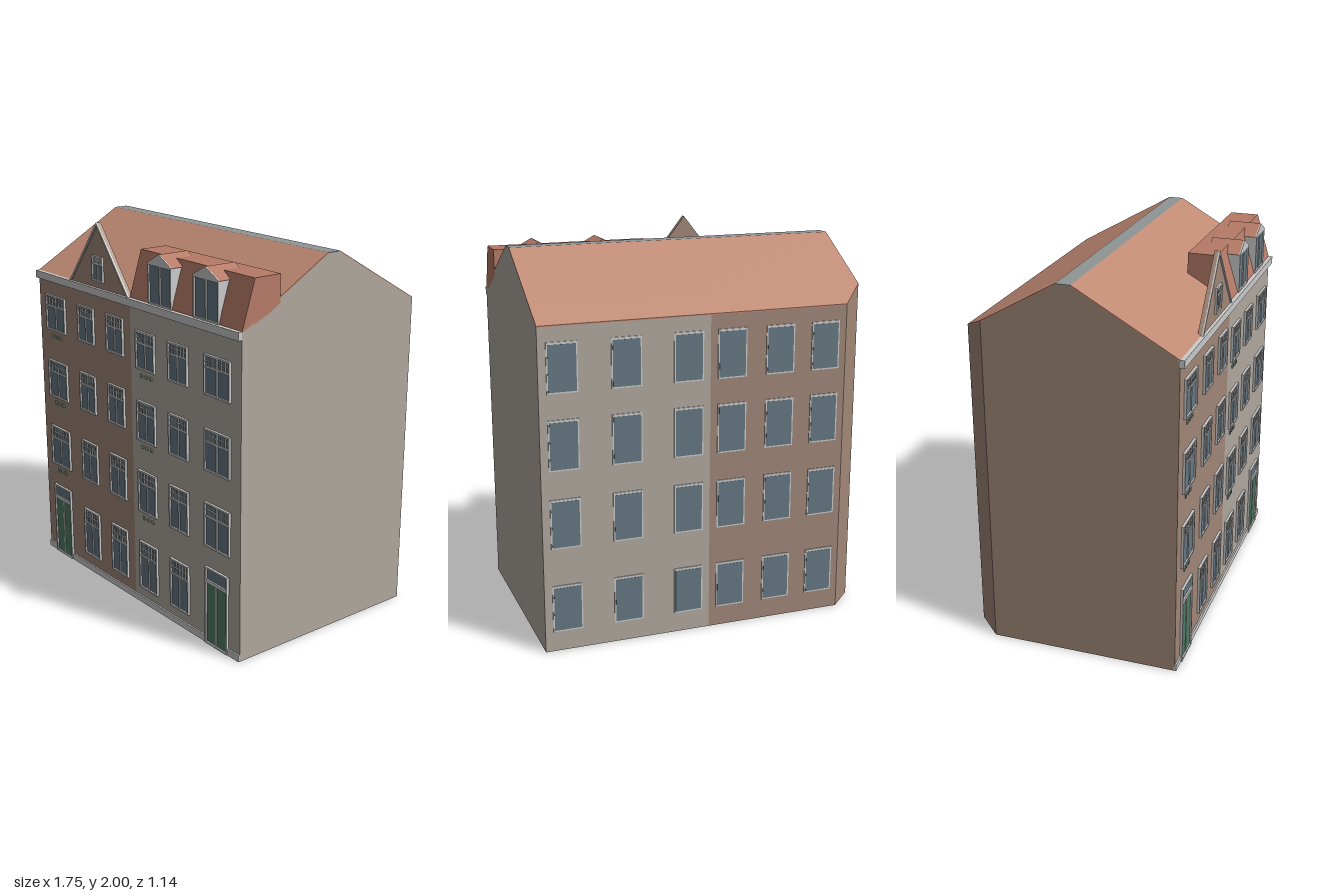
import * as THREE from 'three';

const mat = (color) => new THREE.MeshStandardMaterial({ color, flatShading: true });
const M = {
  brown: mat(0xa08777), beige: mat(0xb0a99f), roof: mat(0xc08a74), tile: mat(0xb67b67),
  ridge: mat(0x8f9496), white: mat(0xd6d6d2), glass: mat(0x667883), green: mat(0x517b66), anchor: mat(0x8fa597),
};
const W = 0.873, FRONT = 0.547, BACK = -0.562, EAVE = 1.66, TOP = 1.955;
const RF = 0.028, RB = -0.048, CUT = -0.43; // ridge edges and start of the cut corner

function add(parent, name, geo, material) {
  const m = new THREE.Mesh(geo, material);
  m.name = name;
  parent.add(m);
  return m;
}

// Box given by its limits
function box(parent, name, material, x0, x1, y0, y1, z0, z1) {
  const g = new THREE.BoxGeometry(x1 - x0, y1 - y0, z1 - z0);
  g.translate((x0 + x1) / 2, (y0 + y1) / 2, (z0 + z1) / 2);
  return add(parent, name, g, material);
}

const shape = (pts) => new THREE.Shape(pts.map(([a, b]) => new THREE.Vector2(a, b)));

// Side profile of [z, y] points swept along x
function sweepX(pts, x0, x1) {
  const g = new THREE.ExtrudeGeometry(shape(pts), { depth: x1 - x0, bevelEnabled: false });
  return g.rotateY(-Math.PI / 2).translate(x1, 0, 0);
}

// Front outline of [x, y] points swept along z
function sweepZ(pts, z0, z1, hole) {
  const s = shape(pts);
  if (hole) s.holes.push(shape(hole));
  return new THREE.ExtrudeGeometry(s, { depth: z1 - z0, bevelEnabled: false }).translate(0, 0, z0);
}

// Slants the outer end to follow the cut back corner
function cutCorner(g) {
  const p = g.attributes.position;
  for (let i = 0; i < p.count; i++) {
    if (p.getX(i) < -W + 1e-4) p.setX(i, -W + Math.max(0, CUT - p.getZ(i)));
  }
  g.computeVertexNormals();
  return g;
}

const slopeBack = (z) => EAVE + (TOP - EAVE) * (z - BACK) / (RB - BACK);
const T = 0.006; // roof skin thickness

// One half of the building: walls and roof skin
function house(parent, side, x0, x1, wall, cut) {
  const g = new THREE.Group();
  g.name = side + 'House';
  parent.add(g);
  const yc = slopeBack(CUT);
  const shapeEnd = (geo) => (cut ? cutCorner(geo) : geo);
  add(g, 'walls', sweepX([[CUT, 0], [FRONT, 0], [FRONT, EAVE - T], [RF, TOP - T], [RB, TOP - T], [CUT, yc - T]], x0, x1), wall);
  add(g, 'rearWalls', shapeEnd(sweepX([[BACK, 0], [CUT, 0], [CUT, yc - T], [BACK, EAVE - T]], x0, x1)), wall);
  const skin = (name, za, ya, zb, yb, m) =>
    add(g, name, shapeEnd(sweepX([[za, ya - T], [zb, yb - T], [zb, yb], [za, ya]], x0, x1)), m);
  skin('rearEaveRoof', BACK, EAVE, CUT, yc, M.roof);
  skin('rearRoof', CUT, yc, RB, TOP, M.roof);
  skin('ridge', RB, TOP, RF, TOP, M.ridge);
  skin('frontRoof', RF, TOP, FRONT, EAVE, M.roof);
}

const rect = (x0, x1, y0, y1) => [[x0, y0], [x1, y0], [x1, y1], [x0, y1]];

// Framed pane standing proud of a wall
function pane(parent, name, x0, x1, y0, y1, z, b = 0.009, fill = M.glass) {
  const g = new THREE.Group();
  g.name = name;
  parent.add(g);
  add(g, 'frame', sweepZ(rect(x0, x1, y0, y1), z - 0.004, z + 0.013, rect(x0 + b, x1 - b, y0 + b, y1 - b)), M.white);
  box(g, 'pane', fill, x0 + b, x1 - b, y0 + b, y1 - b, z - 0.004, z + 0.005);
  return g;
}

// Street window: centre post, transom and small upper lights
function streetWindow(parent, x0, x1, y0, y1, z = FRONT) {
  const g = pane(parent, 'frontWindow', x0, x1, y0, y1, z);
  const c = (x0 + x1) / 2, w = x1 - x0, h = y1 - y0, t = y0 + h * 0.69;
  const bar = (name, a, b, d, e) => box(g, name, M.white, a, b, d, e, z + 0.004, z + 0.01);
  bar('post', c - 0.005, c + 0.005, y0, y1);
  bar('transom', x0, x1, t - 0.005, t + 0.005);
  bar('upperBar', x0, x1, y0 + h * 0.835 - 0.002, y0 + h * 0.835 + 0.002);
  for (const f of [-0.32, -0.16, 0.16, 0.32]) bar('lightBar', c + f * w - 0.002, c + f * w + 0.002, t, y1);
}

// Double door with a fanlight above
function door(parent, x0, x1) {
  const g = new THREE.Group();
  g.name = 'frontDoor';
  parent.add(g);
  pane(g, 'fanlight', x0, x1, 0.345, 0.42, FRONT);
  pane(g, 'doorLeaves', x0, x1, 0, 0.345, FRONT, 0.01, M.green);
  const c = (x0 + x1) / 2;
  box(g, 'meetingRail', M.white, c - 0.004, c + 0.004, 0.01, 0.335, FRONT, FRONT + 0.008);
}

// Small gabled dormer in the steep front roof
function dormer(parent, x0, x1) {
  const g = new THREE.Group();
  g.name = 'dormer';
  parent.add(g);
  const c = (x0 + x1) / 2, y = 1.862;
  box(g, 'cheeks', M.white, x0 + 0.004, x1 - 0.004, EAVE, y, 0.46, 0.54);
  pane(g, 'dormerWindow', x0 + 0.002, x1 - 0.002, EAVE, y, 0.539, 0.008);
  box(g, 'post', M.white, c - 0.005, c + 0.005, EAVE, y, 0.54, 0.55);
  const tri = [[x0 - 0.004, y], [x1 + 0.004, y], [c, y + 0.053]];
  add(g, 'dormerRoof', sweepZ(tri, 0.378, 0.546), M.tile);
  add(g, 'pediment', sweepZ(tri, 0.546, 0.552), M.white);
}

export function createModel() {
  const root = new THREE.Group();
  root.name = 'townHouses';
  house(root, 'right', -W, 0, M.brown, true);
  house(root, 'left', 0, W, M.beige, false);

  // Cornice and plinth
  box(root, 'cornice', M.white, -W, W, 1.62, EAVE, FRONT - 0.01, 0.568);
  for (const [a, b] of [[-W, -0.79], [-0.62, 0.613], [0.787, W]]) {
    box(root, 'plinth', M.white, a, b, 0, 0.035, FRONT - 0.005, FRONT + 0.008);
  }

  // Street windows and doors
  const halves = [
    { cols: [[-0.8, -0.61], [-0.48, -0.33], [-0.21, -0.06]], rows: [[1.34, 1.54], [0.953, 1.167], [0.547, 0.778], [0.095, 0.37]], doorCol: 0, door: [-0.79, -0.62], ax: -0.707 },
    { cols: [[0.053, 0.21], [0.323, 0.477], [0.607, 0.8]], rows: [[1.307, 1.505], [0.926, 1.14], [0.53, 0.762], [0.09, 0.36]], doorCol: 2, door: [0.613, 0.787], ax: 0.131 },
  ];
  for (const h of halves) {
    h.rows.forEach(([y0, y1], r) => h.cols.forEach(([x0, x1], c) => {
      if (r < 3 || c !== h.doorCol) streetWindow(root, x0, x1, y0, y1);
    }));
    door(root, ...h.door);
    // Wall anchors under one column
    for (const [y0] of h.rows.slice(0, 3)) {
      for (const d of [-0.038, 0, 0.038]) {
        const x = h.ax + d, y = y0 - 0.033;
        box(root, 'wallAnchor', M.anchor, x - 0.009, x + 0.009, y - 0.009, y + 0.009, FRONT - 0.002, FRONT + 0.006);
      }
    }
  }

  // Rear windows
  for (const x of [-0.625, -0.375, -0.115, 0.115, 0.435, 0.755]) {
    for (const [y0, y1] of [[1.33, 1.58], [0.945, 1.2], [0.545, 0.8], [0.105, 0.35]]) {
      box(root, 'rearFrame', M.white, x - 0.077, x + 0.077, y0, y1, BACK - 0.005, BACK + 0.004);
      box(root, 'rearPane', M.glass, x - 0.07, x + 0.07, y0 + 0.007, y1 - 0.012, BACK - 0.006, BACK);
    }
  }

  // Free-standing front gable with raised edging
  const gx = -0.27, hw = 0.27, peak = 2.0, k = (peak - EAVE) / hw, e = 0.014;
  const outer = [[gx - hw, EAVE], [gx + hw, EAVE], [gx, peak]];
  add(root, 'gable', sweepZ(outer, 0.53, 0.552), M.brown);
  for (const s of [-1, 1]) {
    const pts = [[gx + s * hw, EAVE], [gx, peak], [gx, peak - e * k], [gx + s * (hw - e), EAVE]];
    add(root, 'gableEdging', sweepZ(pts, 0.55, 0.559), M.white);
  }
  streetWindow(root, -0.32, -0.22, 1.695, 1.828, 0.55);

  // Steep roof storey with two dormers
  add(root, 'steepRoof', sweepX([[0.32, 1.76], [0.5, 1.655], [0.546, EAVE], [0.473, 1.895], [0.32, 1.895]], 0, W), M.tile);
  dormer(root, 0.16, 0.352);
  dormer(root, 0.518, 0.71);
  return root;
}
